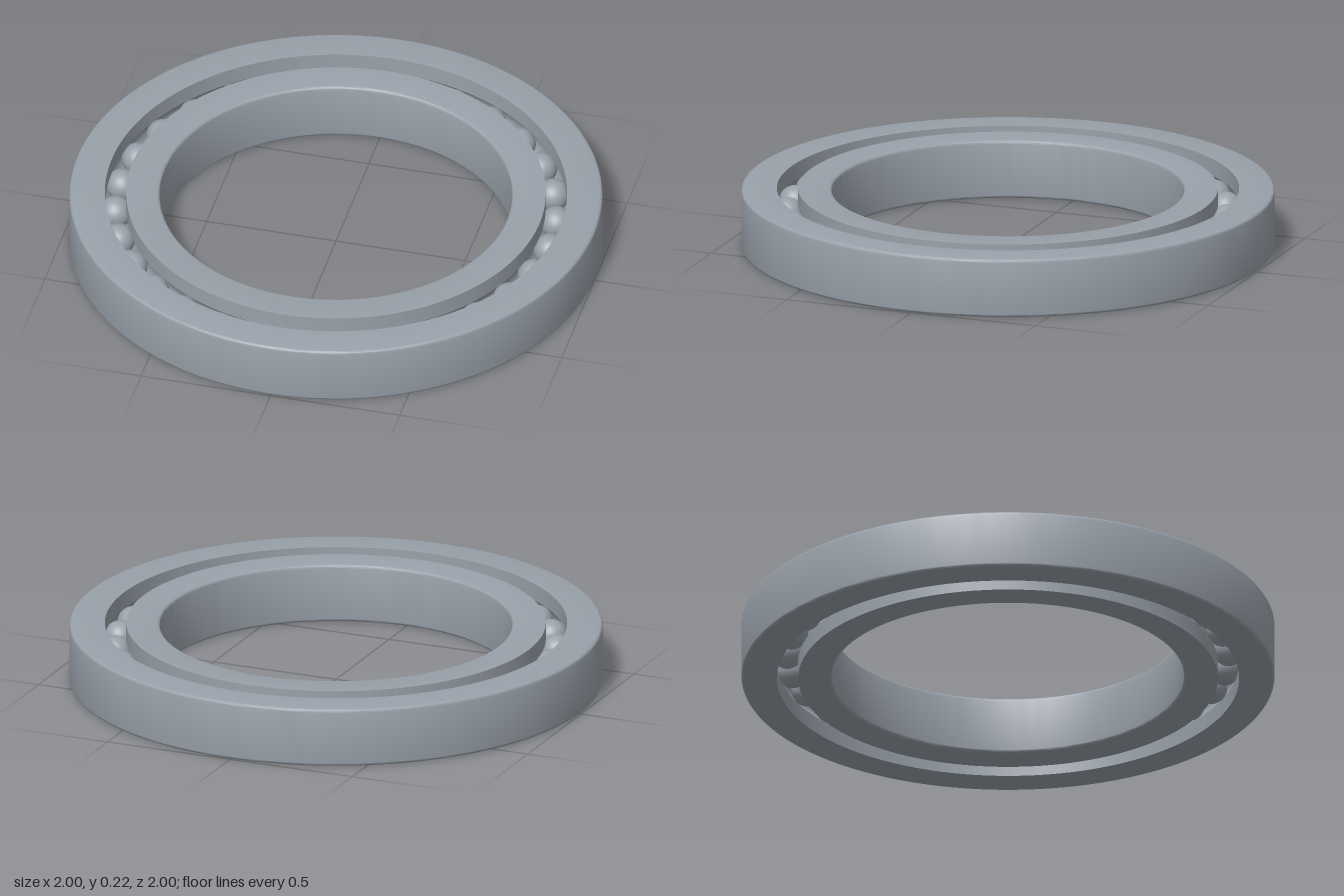
import * as THREE from 'three';
import { toCreasedNormals } from 'three/addons/utils/BufferGeometryUtils.js';

const HEIGHT = 0.225;
const MID = HEIGHT / 2;
const PITCH = 0.827;      // radius of the circle of ball centres
const HALF_GAP = 0.04;    // from the pitch circle to each ring
const BALL_RADIUS = 0.062;
const GROOVE_RADIUS = 0.0625;
const FILLET = 0.012;
const BALLS = 30;

// Points [r, y] along an arc of the cross-section
function arc(cx, cy, radius, from, to, steps) {
  return Array.from({ length: steps + 1 }, (_, i) => {
    const a = from + ((to - from) * i) / steps;
    return new THREE.Vector2(cx + radius * Math.cos(a), cy + radius * Math.sin(a));
  });
}

// Revolves a closed cross-section, listed counter-clockwise
function ring(name, points, material) {
  const lathe = new THREE.LatheGeometry([...points, points[0].clone()], 128);
  const mesh = new THREE.Mesh(toCreasedNormals(lathe, 0.5), material);
  mesh.name = name;
  return mesh;
}

export function createModel() {
  const group = new THREE.Group();
  group.name = 'ballBearing';
  const steel = new THREE.MeshStandardMaterial({ color: 0x99a1aa });
  steel.name = 'steel';

  const half = Math.acos(HALF_GAP / GROOVE_RADIUS);
  const Q = Math.PI / 2;
  const low = FILLET, high = HEIGHT - FILLET;

  // Outer ring: rounded outside corners, ball groove on the inside
  const outerWall = PITCH + HALF_GAP;
  group.add(ring('outerRing', [
    new THREE.Vector2(outerWall, 0),
    ...arc(1 - FILLET, low, FILLET, -Q, 0, 4),
    ...arc(1 - FILLET, high, FILLET, 0, Q, 4),
    new THREE.Vector2(outerWall, HEIGHT),
    ...arc(PITCH, MID, GROOVE_RADIUS, half, -half, 12),
  ], steel));

  // Inner ring: rounded bore corners, ball groove on the outside
  const innerWall = PITCH - HALF_GAP;
  const bore = 0.66;
  group.add(ring('innerRing', [
    new THREE.Vector2(innerWall, 0),
    ...arc(PITCH, MID, GROOVE_RADIUS, Math.PI + half, Math.PI - half, 12),
    new THREE.Vector2(innerWall, HEIGHT),
    ...arc(bore + FILLET, high, FILLET, Q, 2 * Q, 4),
    ...arc(bore + FILLET, low, FILLET, 2 * Q, 3 * Q, 4),
  ], steel));

  // Balls evenly spaced in the race
  const balls = new THREE.Group();
  balls.name = 'balls';
  const ballGeometry = new THREE.SphereGeometry(BALL_RADIUS, 32, 20);
  for (let i = 0; i < BALLS; i++) {
    const a = (i / BALLS) * Math.PI * 2;
    const ball = new THREE.Mesh(ballGeometry, steel);
    ball.name = 'ball';
    ball.position.set(PITCH * Math.cos(a), MID, PITCH * Math.sin(a));
    balls.add(ball);
  }
  group.add(balls);
  return group;
}
